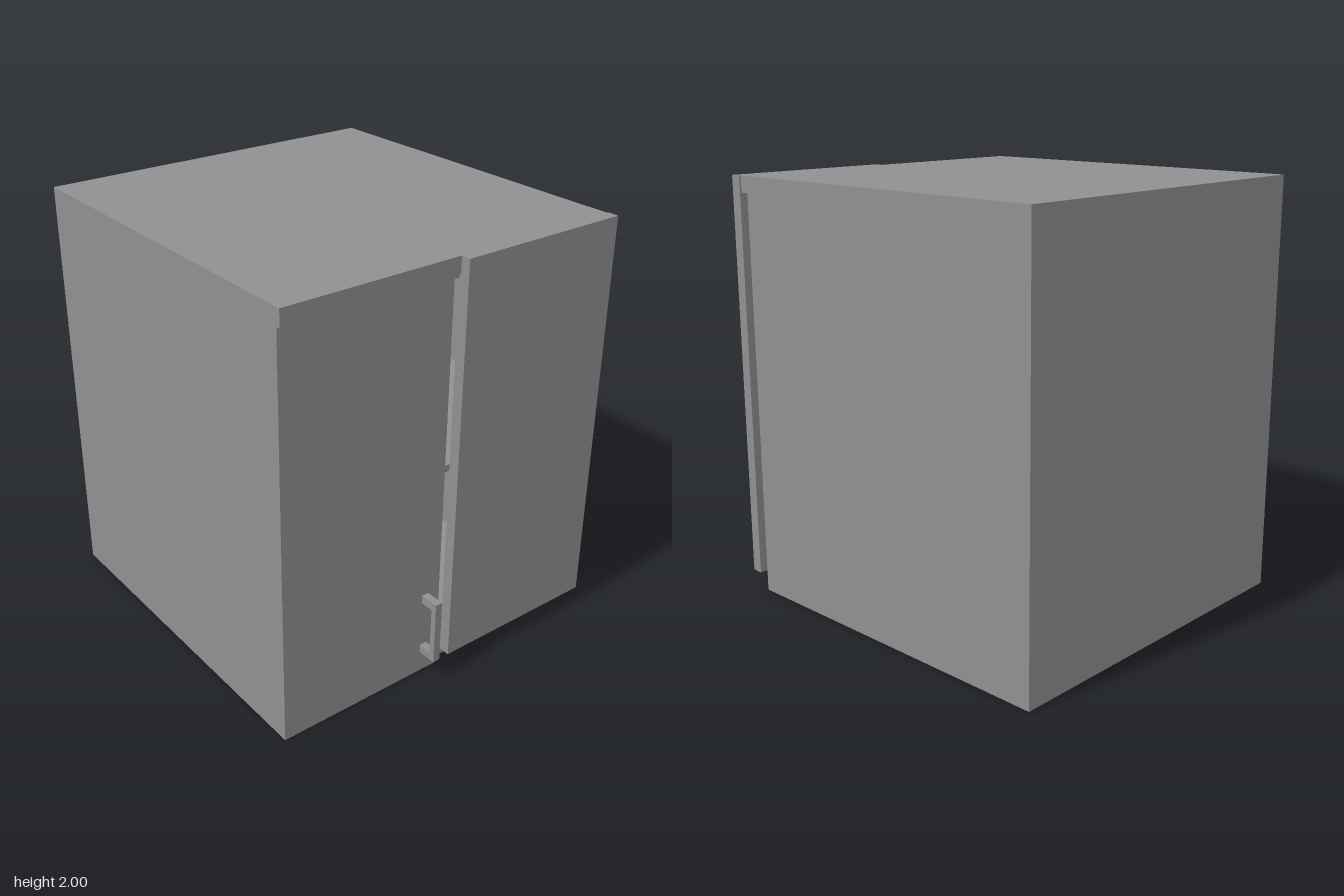
import * as THREE from 'three';

const material = new THREE.MeshStandardMaterial({ color: 0x909090, flatShading: true });

// Box given by its lower and upper corners
function box(parent, name, [x0, y0, z0], [x1, y1, z1]) {
  const geometry = new THREE.BoxGeometry(x1 - x0, y1 - y0, z1 - z0);
  const mesh = new THREE.Mesh(geometry, material);
  mesh.position.set((x0 + x1) / 2, (y0 + y1) / 2, (z0 + z1) / 2);
  mesh.name = name;
  parent.add(mesh);
}

function group(parent, name) {
  const g = new THREE.Group();
  g.name = name;
  parent.add(g);
  return g;
}

export function createModel() {
  const model = new THREE.Group();
  model.name = 'cabinet';
  const L = -0.861, R = 0.853, back = -0.92, front = 0.795, lipBottom = 1.923;

  // Hollow carcass with one shelf
  const carcass = group(model, 'carcass');
  box(carcass, 'rightWall', [L, 0, back], [-0.8, 2, front]);
  box(carcass, 'leftWall', [0.79, 0, back], [R, 2, front]);
  box(carcass, 'bottomPanel', [-0.8, 0, back], [0.79, 0.04, front]);
  box(carcass, 'topPanel', [-0.8, 1.882, back], [0.79, 2, front]);
  box(carcass, 'backPanel', [-0.8, 0.04, back], [0.79, 1.882, back + 0.04]);
  box(carcass, 'shelf', [-0.8, 0.98, back + 0.04], [0.79, 1.015, 0.78]);

  // Overhanging lip along the top
  box(carcass, 'topLip', [L, lipBottom, front], [R, 2, 0.847]);

  // Flush door under the lip
  const rightDoor = group(model, 'rightDoor');
  box(rightDoor, 'rightDoorPanel', [L, 0, front], [-0.007, lipBottom, 0.827]);

  // Bar handle on two posts
  const handle = group(rightDoor, 'handle');
  box(handle, 'handleBar', [-0.107, 0.107, 0.892], [-0.071, 0.42, 0.92]);
  for (const y of [0.107, 0.38]) {
    box(handle, 'handlePost', [-0.107, y, 0.827], [-0.071, y + 0.04, 0.892]);
  }

  // Raised door standing off the carcass on two spacers
  const leftDoor = group(model, 'leftDoor');
  box(leftDoor, 'leftDoorPanel', [0.007, 0.08, 0.839], [0.861, 2, 0.893]);
  for (const y of [1.58, 1.853]) {
    box(leftDoor, 'doorSpacer', [0.075, y, front], [0.11, y + 0.042, 0.839]);
  }

  return model;
}
